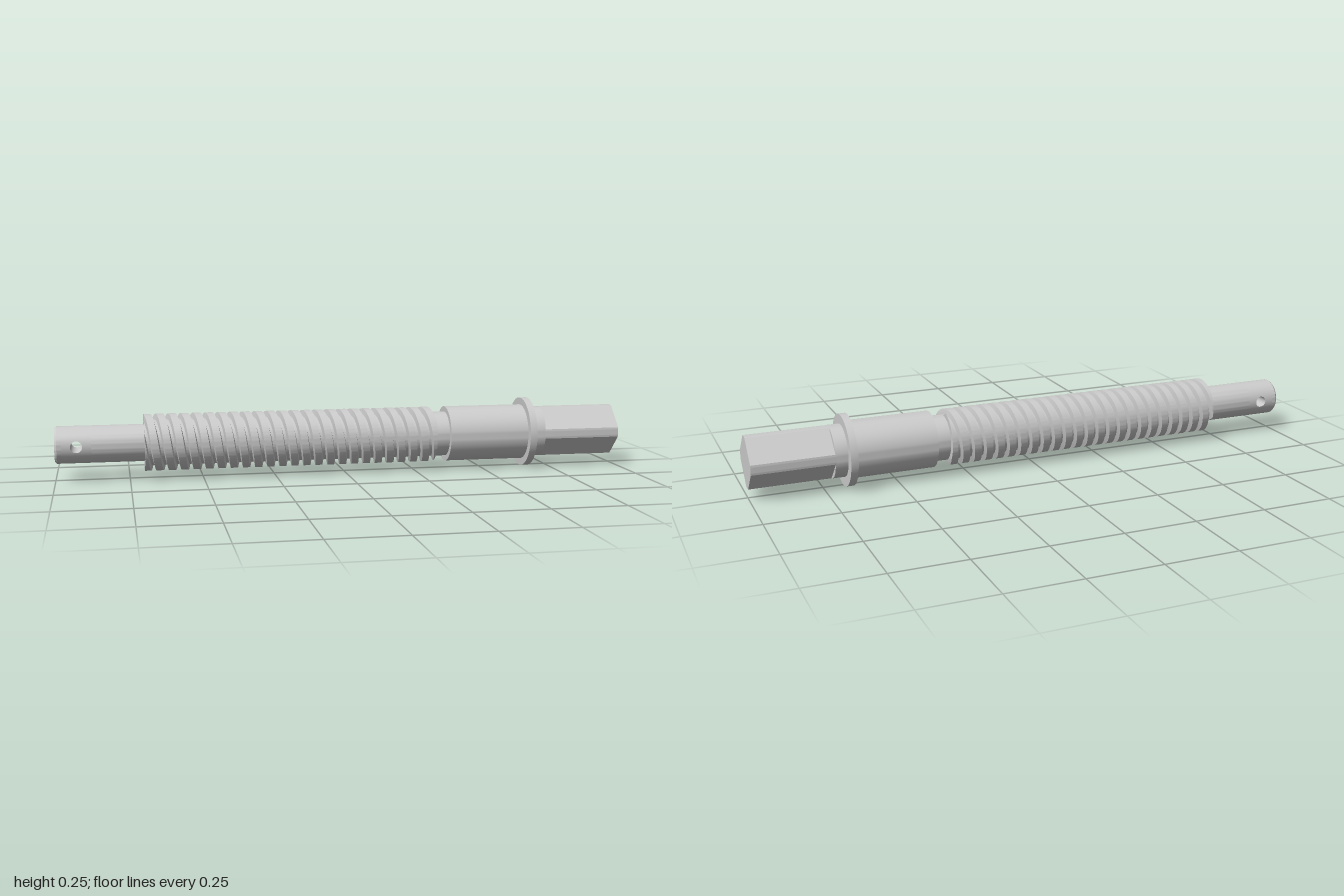
import * as THREE from 'three';
import { toCreasedNormals } from 'three/addons/utils/BufferGeometryUtils.js';
import { ParametricGeometry } from 'three/addons/geometries/ParametricGeometry.js';

const material = new THREE.MeshStandardMaterial({ color: 0xcccccc });
const TAU = Math.PI * 2;

export function createModel() {
  const group = new THREE.Group();
  group.position.y = 0.123; // height of the shaft axis

  const add = (name, geometry, mat = material) => {
    const mesh = new THREE.Mesh(geometry, mat);
    mesh.name = name;
    group.add(mesh);
    return mesh;
  };
  // Turned part along x from [x, radius] pairs
  const turn = (name, profile) => {
    const g = new THREE.LatheGeometry(profile.map(([x, r]) => new THREE.Vector2(r, x)), 64);
    g.rotateZ(-Math.PI / 2);
    return add(name, toCreasedNormals(g, 0.5));
  };

  // Thin journal, left open around the pin hole
  const R = 0.064, holeX = -0.928, holeR = 0.02, half = 0.05;
  turn('journalTip', [[-1, 0], [-1, 0.058], [-0.993, R], [holeX - half, R]]);
  turn('journal', [[holeX + half, R], [-0.68, R]]);

  // Half-cylinder patches that blend from a box outline to the round hole
  const patch = new ParametricGeometry((u, v, p) => {
    const c = Math.cos(u * TAU), s = Math.sin(u * TAU);
    const m = Math.max(Math.abs(c), Math.abs(s));
    const x = THREE.MathUtils.lerp((c / m) * half, c * holeR, v);
    const phi = THREE.MathUtils.lerp((s / m) * Math.PI / 2, Math.asin(s * holeR / R), v);
    p.set(holeX + x, R * Math.sin(phi), R * Math.cos(phi));
  }, 128, 14);
  add('holeWallFront', patch);
  add('holeWallBack', patch).rotation.x = Math.PI;

  // Bore of the pin hole, ends fitted to the journal surface
  const bore = new THREE.CylinderGeometry(holeR, holeR, 2, 48, 1, true);
  bore.rotateX(Math.PI / 2);
  const pos = bore.attributes.position;
  for (let i = 0; i < pos.count; i++) {
    pos.setZ(i, Math.sign(pos.getZ(i)) * Math.sqrt(R * R - pos.getY(i) ** 2));
  }
  bore.translate(holeX, 0, 0);
  const inside = material.clone();
  inside.side = THREE.BackSide;
  add('pinHole', bore, inside);

  // Two-start right-hand thread: helical rows clamped to the threaded length
  const x0 = -0.7, x1 = 0.32, pitch = 0.0427, lead = 2 * pitch;
  const crest = 0.098, root = 0.079;
  const knots = [0, 0.58, 0.68, 0.9]; // crest start, crest end, root start, root end
  const radius = (t) => {
    if (t <= knots[1]) return crest;
    if (t < knots[2]) return THREE.MathUtils.mapLinear(t, knots[1], knots[2], crest, root);
    if (t <= knots[3]) return root;
    return THREE.MathUtils.mapLinear(t, knots[3], 1, root, crest);
  };
  const turns = Math.ceil((x1 - x0) / pitch) + 3;
  const rows = turns * 4 + 2;
  const thread = new ParametricGeometry((u, v, p) => {
    const a = u * TAU;
    const row = Math.round(v * rows);
    let x, r;
    if (row <= 0 || row >= rows) { // inner rim of the end faces
      x = row <= 0 ? x0 : x1;
      r = 0.05;
    } else {
      const k = Math.floor((row - 1) / 4) - 3;
      const shift = x0 + lead * u;
      x = THREE.MathUtils.clamp(shift + (k + knots[(row - 1) % 4]) * pitch, x0, x1);
      const t = (x - shift) / pitch + 1e-6;
      r = radius(t - Math.floor(t));
    }
    p.set(x, r * Math.cos(a), r * Math.sin(a));
  }, 96, rows);
  add('thread', toCreasedNormals(thread, 0.5));

  // Relief groove, bearing body, flange and neck
  turn('bodyAndFlange', [
    [0.31, 0.079], [0.37, 0.079], [0.37, 0.098], [0.655, 0.098], [0.655, 0.123],
    [0.68, 0.123], [0.68, 0.09], [0.723, 0.09], [0.723, 0],
  ]);

  // Square drive end with corners on the neck radius
  const h = Math.PI / 4 - Math.acos(0.0745 / 0.09);
  const square = new THREE.Shape();
  for (let k = 0; k < 4; k++) {
    square.absarc(0, 0, 0.09, k * Math.PI / 2 - h, k * Math.PI / 2 + h, false);
  }
  square.closePath();
  const drive = new THREE.ExtrudeGeometry(square, { depth: 0.28, bevelEnabled: false, curveSegments: 6 });
  drive.rotateY(Math.PI / 2);
  drive.translate(0.72, 0, 0);
  add('squareDrive', toCreasedNormals(drive, 0.3));

  return group;
}
